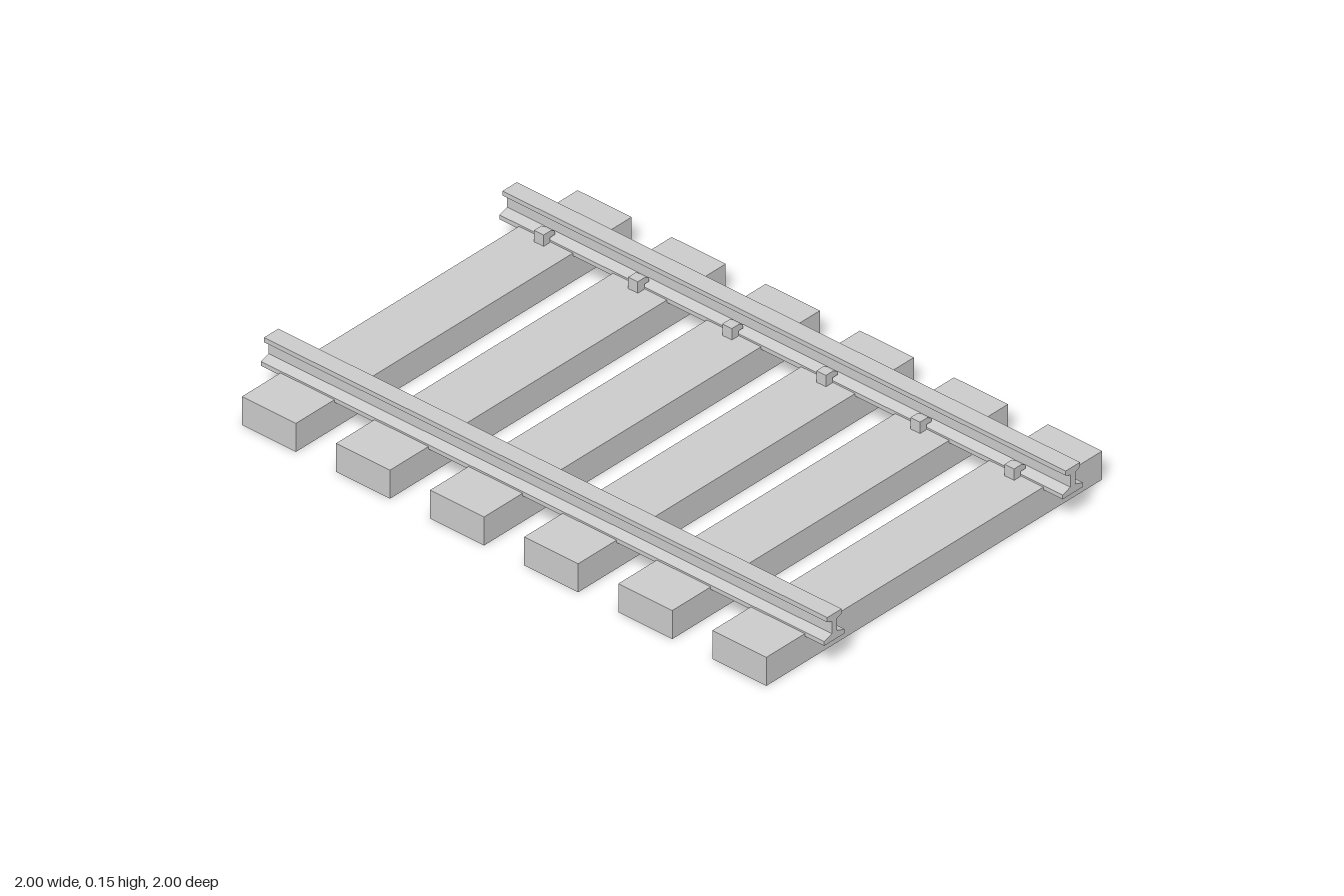
import * as THREE from 'three';

const TIES = 6, SPACING = 0.296, TIE_WIDTH = 0.17, TIE_LENGTH = 1.244 - 0.07, TIE_TOP = 0.08;
const RAIL_LENGTH = 1.772, RAIL_OFFSET = 0.417;

const material = new THREE.MeshStandardMaterial({ color: 0xcccccc, flatShading: true });

// Closed prism: an outline in (across, up) extruded along the track and centred on it
function prism(name, points, length) {
  const shape = new THREE.Shape(points.map(([x, y]) => new THREE.Vector2(x, y)));
  const geometry = new THREE.ExtrudeGeometry(shape, { depth: length, bevelEnabled: false });
  geometry.translate(0, 0, -length / 2).rotateY(Math.PI / 2);
  const mesh = new THREE.Mesh(geometry, material);
  mesh.name = name;
  return mesh;
}

// Right half of the rail section: foot, web, head
const half = [
  [0.0355, 0.073], [0.0355, 0.085], [0.009, 0.094], [0.009, 0.128], [0.025, 0.134], [0.025, 0.147],
];
const railSection = [...half, ...half.map(([x, y]) => [-x, y]).reverse()];

// Hooked spike: post in the tie, head reaching over the rail foot (towards +across)
const spikeSection = [
  [-0.022, 0.06], [0.001, 0.06], [0.001, 0.094], [0.018, 0.094], [0.018, 0.104],
  [0.004, 0.112], [-0.022, 0.112],
];

export function createModel() {
  const model = new THREE.Group();
  model.name = 'railwayTrack';
  const track = new THREE.Group();
  track.name = 'trackSection';
  track.rotation.y = -Math.PI / 4;
  model.add(track);

  // Cross ties
  for (let i = 0; i < TIES; i++) {
    const tie = new THREE.Mesh(new THREE.BoxGeometry(TIE_WIDTH, TIE_TOP, TIE_LENGTH), material);
    tie.name = 'tie';
    tie.position.set((i - (TIES - 1) / 2) * SPACING, TIE_TOP / 2, 0);
    track.add(tie);
  }

  // Rails, each with a spike on its inner side at every tie
  for (const side of [-1, 1]) {
    const rail = prism('rail', railSection, RAIL_LENGTH);
    rail.position.z = side * RAIL_OFFSET;
    track.add(rail);

    for (let i = 0; i < TIES; i++) {
      const spike = prism('spike', spikeSection, 0.03);
      spike.rotation.y = side > 0 ? Math.PI : 0;
      spike.position.set((i - (TIES - 1) / 2) * SPACING, 0, side * 0.379);
      track.add(spike);
    }
  }
  return model;
}
